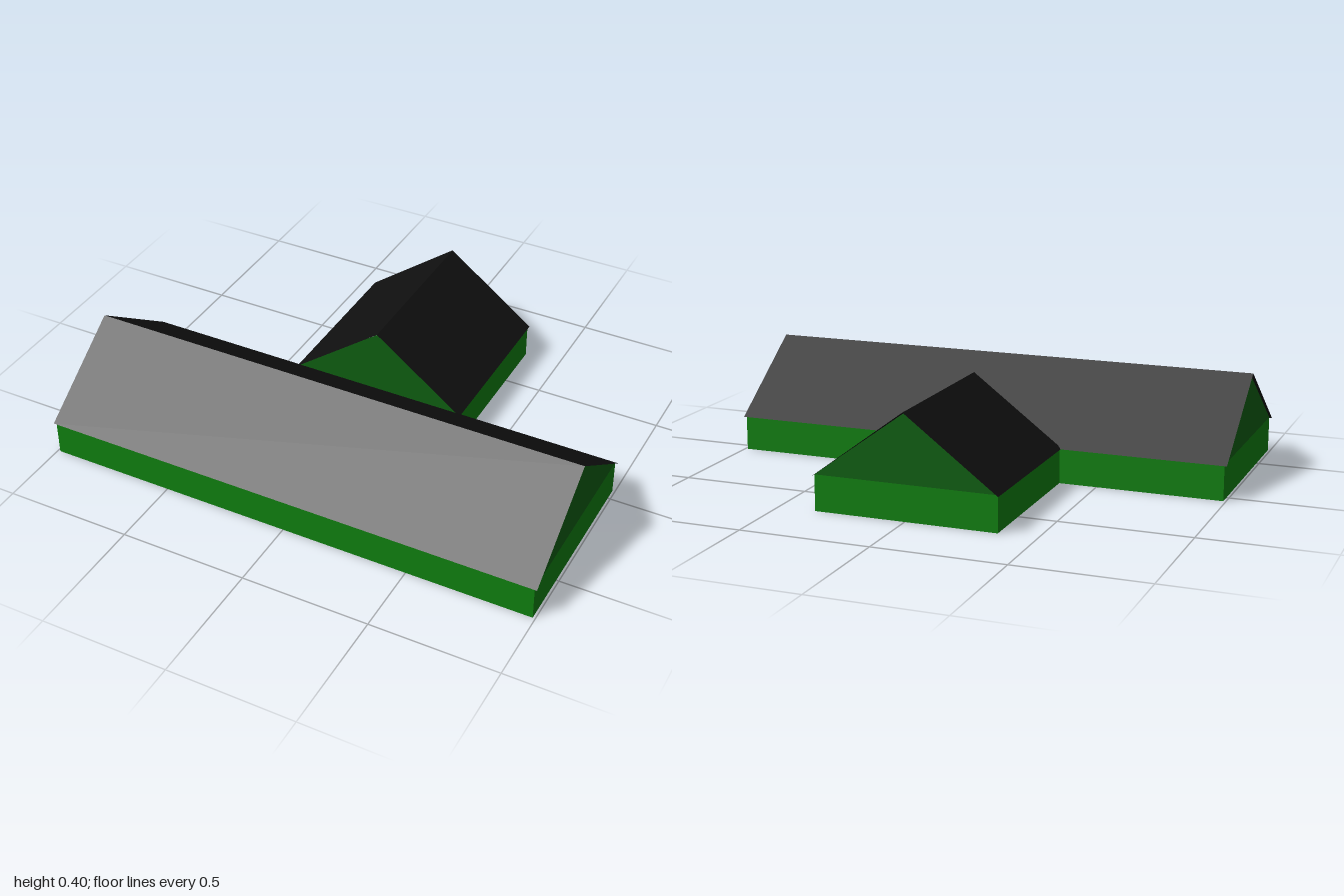
import * as THREE from 'three';

const material = (name, color) => {
  const m = new THREE.MeshStandardMaterial({ color, side: THREE.DoubleSide });
  m.name = name;
  return m;
};

const EAVE = 0.138, RIDGE = 0.402;

// Hollow gabled block: ridge runs along local x, open underneath
function makeBlock(name, mats, { halfLength, halfDepth, overhang, openEnd }) {
  const block = new THREE.Group();
  block.name = name;
  const add = (part, geometry, mat) => {
    const mesh = new THREE.Mesh(geometry, mat);
    mesh.name = part;
    block.add(mesh);
    return mesh;
  };
  const eaveOut = 0.0045;
  const slope = (RIDGE - EAVE) / halfDepth;

  for (const s of [-1, 1]) {
    // Long wall
    const wall = add('sideWall', new THREE.PlaneGeometry(halfLength * 2, EAVE), mats.wall);
    wall.position.set(0, EAVE / 2, s * halfDepth);
    if (s < 0) wall.rotation.y = Math.PI;

    // End wall
    if (s !== openEnd) {
      const end = add('endWall', new THREE.PlaneGeometry(halfDepth * 2, EAVE), mats.wall);
      end.position.set(s * halfLength, EAVE / 2, 0);
      end.rotation.y = s * Math.PI / 2;
    }

    // Gable triangle
    const triangle = new THREE.Shape([
      new THREE.Vector2(-halfDepth, EAVE),
      new THREE.Vector2(halfDepth, EAVE),
      new THREE.Vector2(0, RIDGE - 0.005),
    ]);
    const gable = add('gable', new THREE.ShapeGeometry(triangle), mats.gable);
    gable.position.x = s * halfLength;
    gable.rotation.y = s * Math.PI / 2;

    // Roof slope, slightly past the walls on all sides
    const run = halfDepth + eaveOut, drop = run * slope;
    const roof = add('roofSlope',
      new THREE.PlaneGeometry((halfLength + overhang) * 2, Math.hypot(run, drop)), mats.roof);
    roof.rotation.order = 'YXZ';
    roof.rotation.set(-Math.atan2(run, drop), s > 0 ? 0 : Math.PI, 0);
    roof.position.set(0, RIDGE - drop / 2, s * run / 2);
  }
  return block;
}

export function createModel() {
  const mats = {
    wall: material('wall green', 0x108010),
    gable: material('gable dark green', 0x0e5e11),
    roof: material('roof black', 0x101010),
  };
  const model = new THREE.Group();
  model.name = 'house';

  // Long front hall
  const hall = makeBlock('mainHall', mats, { halfLength: 0.99, halfDepth: 0.379, overhang: 0.01 });
  hall.position.z = 0.332;

  // Rear wing, sharing the back wall of the hall
  const wing = makeBlock('rearWing', mats, { halfLength: 0.329, halfDepth: 0.353, overhang: 0.01, openEnd: -1 });
  wing.rotation.y = Math.PI / 2;
  wing.position.z = -0.376;
  model.add(hall, wing);

  return model;
}
